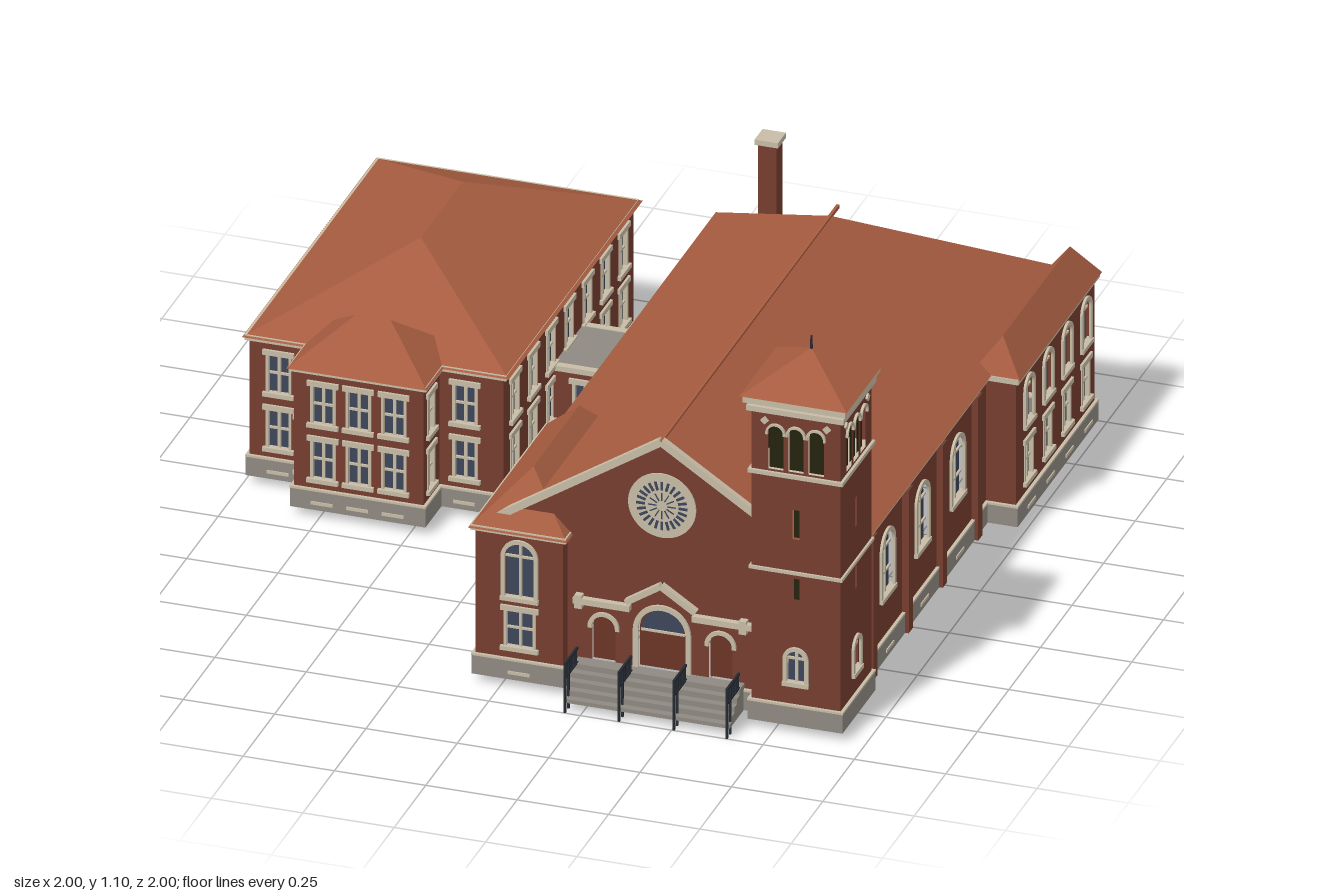
import * as THREE from 'three';
import { mergeGeometries } from 'three/addons/utils/BufferGeometryUtils.js';

const mat = (name, color) => new THREE.MeshStandardMaterial({ name, color, side: THREE.DoubleSide });
const M = {
  brick: mat('brick', 0x743d2e), roof: mat('roof tile', 0xa65c40), trim: mat('pale stone', 0xc6bba5),
  stone: mat('base stone', 0x8e8a82), glass: mat('window glass', 0x3d465a), dark: mat('dark opening', 0x24230f),
  door: mat('door wood', 0x6b3526), iron: mat('railing iron', 0x262a33),
};
const GROUND = 0.025, BASE = 0.085;

const put = (parent, name, geo, m) => {
  const mesh = new THREE.Mesh(geo, m);
  mesh.name = name;
  parent.add(mesh);
  return mesh;
};
// box given by its two corners
const boxGeo = (x0, x1, y0, y1, z0, z1) =>
  new THREE.BoxGeometry(x1 - x0, y1 - y0, z1 - z0).translate((x0 + x1) / 2, (y0 + y1) / 2, (z0 + z1) / 2);
const box = (parent, name, m, ...c) => put(parent, name, boxGeo(...c), m);
// sloping bar in the xy plane
function bar(parent, name, m, x0, y0, x1, y1, z, h, d) {
  const b = put(parent, name, new THREE.BoxGeometry(Math.hypot(x1 - x0, y1 - y0), h, d), m);
  b.position.set((x0 + x1) / 2, (y0 + y1) / 2, z);
  b.rotation.z = Math.atan2(y1 - y0, x1 - x0);
}

// outline of a window opening, square or round-headed
function opening(o, P = THREE.Path) {
  const p = new P(), r = o.w / 2, l = o.c - r, t = o.arch ? o.y1 - r : o.y1;
  p.moveTo(l, o.y0).lineTo(o.c + r, o.y0).lineTo(o.c + r, t);
  if (o.arch) p.absarc(o.c, t, r, 0, Math.PI, false);
  else p.lineTo(l, t);
  p.lineTo(l, o.y0);
  return p;
}
// raised surround of a round-headed opening, from height yb up
function archFrame(o, yb, k) {
  const s = new THREE.Shape(), r = o.w / 2, t = o.y1 - r, R = r + k;
  s.moveTo(o.c - R, yb).lineTo(o.c - R, t).absarc(o.c, t, R, Math.PI, 0, true);
  s.lineTo(o.c + R, yb).lineTo(o.c + r, yb).lineTo(o.c + r, t).absarc(o.c, t, r, 0, Math.PI, false);
  s.lineTo(o.c - r, yb);
  return new THREE.ExtrudeGeometry(s, { depth: 0.007, bevelEnabled: false, curveSegments: 10 });
}

function addWindow(g, o) {
  const { c, w, y0, y1, arch, kind = 'glass' } = o, r = w / 2;
  const pane = put(g, kind === 'glass' ? 'windowPane' : kind + 'Panel',
    new THREE.ShapeGeometry(opening(o, THREE.Shape), 10), M[kind]);
  pane.position.z = -0.01;
  if (o.plain) return;
  const parts = [];
  if (arch) put(g, 'archSurround', archFrame(o, kind === 'glass' || o.full ? y0 : y1 - r - 0.005, o.k ?? 0.011), M.trim);
  else {
    parts.push(boxGeo(c - r - 0.012, c + r + 0.012, y1 - 0.002, y1 + 0.013, -0.008, 0.007));
    for (const s of [-1, 1]) parts.push(boxGeo(c + s * r - 0.004, c + s * r + 0.004, y0, y1, -0.009, 0.003));
  }
  if (kind === 'glass') {
    const mid = arch ? y1 - r : (y0 + y1) / 2;
    parts.push(boxGeo(c - 0.004, c + 0.004, y0, y1 - 0.002, -0.009, -0.003),
      boxGeo(c - r, c + r, mid - 0.003, mid + 0.003, -0.009, -0.003),
      boxGeo(c - r - 0.012, c + r + 0.012, y0 - 0.012, y0, -0.009, 0.01));
    if (arch && w > 0.08) parts.push(boxGeo(c - r, c + r, y0 + 0.055, y0 + 0.061, -0.009, -0.003));
  }
  if (parts.length) put(g, 'windowTrim', mergeGeometries(parts), M.trim);
}

// wall facing F, R, L or B; a..b and window centres are world x or z
const SIDE = { F: [0, 1], R: [Math.PI / 2, -1], L: [-Math.PI / 2, 1], B: [Math.PI, -1] };
function wall(parent, name, side, plane, a, b, top, wins = [], opt = {}) {
  const [rot, s] = SIDE[side], g = new THREE.Group();
  g.name = name;
  g.rotation.y = rot;
  g.position[side === 'F' || side === 'B' ? 'z' : 'x'] = plane;
  parent.add(g);
  const lo = Math.min(s * a, s * b), hi = Math.max(s * a, s * b);
  const pts = opt.outline ?? [[lo, GROUND], [hi, GROUND], [hi, top], [lo, top]];
  const shape = new THREE.Shape(pts.map(p => new THREE.Vector2(...p)));
  const local = wins.map(o => ({ ...o, c: s * o.c }));
  shape.holes = local.map(o => opening(o));
  put(g, 'brickFace', new THREE.ShapeGeometry(shape, 10), M.brick);
  local.forEach(o => addWindow(g, o));
  box(g, 'stoneBase', M.stone, lo - 0.008, hi + 0.008, GROUND, BASE - 0.006, -0.022, 0.008);
  box(g, 'baseCap', M.trim, lo - 0.009, hi + 0.009, BASE - 0.006, BASE, -0.02, 0.009);
  if (!opt.noCornice) box(g, 'cornice', M.trim, lo - 0.01, hi + 0.01, top - 0.015, top, -0.01, 0.011);
  for (const c of opt.vents ?? [])
    box(g, 'basementVent', M.trim, s * c - 0.03, s * c + 0.03, 0.041, 0.05, 0.004, 0.011);
  return g;
}

// hipped roof; ridge from (ax,az) to (bx,bz), running along z unless alongX
function hip(parent, name, x0, x1, z0, z1, y0, y1, [ax, az, bx, bz], alongX = false) {
  const a = [x0, y0, z0], b = [x1, y0, z0], c = [x1, y0, z1], d = [x0, y0, z1];
  const A = [ax, y1, az], B = [bx, y1, bz];
  const tris = alongX
    ? [[d, c, B], [d, B, A], [b, a, A], [b, A, B], [a, d, A], [c, b, B]]
    : [[a, d, B], [a, B, A], [c, b, A], [c, A, B], [b, a, A]];
  if (!alongX && bz < z1) tris.push([d, c, B]);
  const geo = new THREE.BufferGeometry();
  geo.setAttribute('position', new THREE.Float32BufferAttribute(tris.flat(2), 3));
  geo.computeVertexNormals();
  put(parent, name, geo, M.roof);
}

const rect = (c, y0, y1, w = 0.062) => ({ c, w, y0, y1 });
const arched = (c, y0, y1, w) => ({ c, w, y0, y1, arch: true });
const twoFloors = (cols, w) => cols.flatMap(c => [rect(c, 0.115, 0.225, w), rect(c, 0.275, 0.385, w)]);
const row = (n, from, step) => Array.from({ length: n }, (_, i) => from + i * step);

function school(root) {
  const g = new THREE.Group();
  g.name = 'schoolWing';
  root.add(g);
  const sides = row(7, -0.9, 0.143), back = row(4, -0.9, 0.175);
  wall(g, 'schoolFront', 'F', 0.045, -0.985, -0.29, 0.435, twoFloors([-0.905, -0.395]), { vents: [-0.905, -0.395] });
  wall(g, 'schoolBack', 'B', -0.985, -0.985, -0.29, 0.435, twoFloors(back), { vents: back });
  wall(g, 'schoolLeft', 'L', -0.985, -0.985, 0.045, 0.435, twoFloors(sides), { vents: sides });
  wall(g, 'schoolRight', 'R', -0.29, -0.985, 0.045, 0.435, twoFloors(sides), { vents: sides });
  hip(g, 'schoolRoof', -1, -0.27, -1, 0.062, 0.43, 0.605, [-0.635, -0.63, -0.635, -0.3]);
  // projecting bay
  const cols = [-0.74, -0.643, -0.546];
  wall(g, 'bayFront', 'F', 0.172, -0.82, -0.465, 0.435, twoFloors(cols), { vents: cols });
  wall(g, 'bayLeft', 'L', -0.82, 0.045, 0.172, 0.435, twoFloors([0.115], 0.05));
  wall(g, 'bayRight', 'R', -0.465, 0.045, 0.172, 0.435, twoFloors([0.115], 0.05));
  hip(g, 'bayRoof', -0.835, -0.45, -0.08, 0.19, 0.43, 0.545, [-0.69, 0.055, -0.595, 0.055], true);
  // low link to the church
  const link = [-0.205, -0.12].map(c => rect(c, 0.125, 0.225, 0.058));
  wall(g, 'linkFront', 'F', -0.35, -0.29, -0.04, 0.272, link);
  wall(g, 'linkBack', 'B', -0.585, -0.29, -0.04, 0.272, link);
  box(g, 'linkRoof', M.stone, -0.29, -0.04, 0.262, 0.27, -0.58, -0.355);
}

function church(root) {
  const g = new THREE.Group();
  g.name = 'church';
  root.add(g);
  // nave
  const nave = c => arched(c, 0.205, 0.38, 0.09);
  const doors = [{ ...arched(0.43, 0.1, 0.275, 0.13), kind: 'door', full: true, k: 0.014 },
    ...[0.27, 0.59].map(c => ({ ...arched(c, 0.1, 0.23, 0.064), kind: 'door' }))];
  const front = wall(g, 'gableFront', 'F', 0.87, 0.17, 0.69, 0.455, doors, { noCornice: true,
    outline: [[0.17, GROUND], [0.69, GROUND], [0.69, 0.597], [0.43, 0.766], [-0.04, 0.46], [0.17, 0.455]] });
  const lunette = put(front, 'doorLunette', new THREE.CircleGeometry(0.058, 16, 0, Math.PI), M.glass);
  lunette.position.set(0.43, 0.212, -0.005);
  box(front, 'doorTransom', M.trim, 0.37, 0.49, 0.205, 0.211, -0.008, -0.002);
  wall(g, 'naveRight', 'R', 0.9, -0.33, 0.68, 0.455, [0.455, 0.18, -0.1].map(nave), { vents: [0.455, 0.18, -0.1] });
  wall(g, 'naveLeft', 'L', -0.04, -0.94, 0.33, 0.455, [0.18, -0.1, -0.38, -0.66].map(nave), { vents: [0.18, -0.1] });
  wall(g, 'naveBack', 'B', -0.94, -0.04, 0.98, 0.455, [nave(0.43)]);
  for (const z of [0.595, 0.315, 0.045, -0.235]) {
    box(g, 'buttress', M.brick, 0.895, 0.918, GROUND, 0.44, z - 0.017, z + 0.017);
    if (z < 0.3) box(g, 'buttress', M.brick, -0.058, -0.035, GROUND, 0.44, z - 0.017, z + 0.017);
  }
  hip(g, 'naveRoof', -0.055, 0.918, -0.955, 0.88, 0.455, 0.77, [0.43, -0.46, 0.43, 0.88]);
  box(g, 'ridgeCap', M.roof, 0.426, 0.434, 0.764, 0.774, -0.52, 0.88);
  bar(g, 'gableCoping', M.trim, -0.05, 0.457, 0.43, 0.769, 0.876, 0.02, 0.018);
  bar(g, 'gableCoping', M.trim, 0.43, 0.769, 0.69, 0.6, 0.876, 0.02, 0.018);
  // rose window
  const rose = new THREE.Group();
  rose.name = 'roseWindow';
  rose.position.set(0.43, 0.58, 0.87);
  g.add(rose);
  put(rose, 'roseDisc', new THREE.CylinderGeometry(0.093, 0.093, 0.008, 40).rotateX(Math.PI / 2), M.trim);
  const slots = [];
  for (let i = 0; i < 24; i++)
    slots.push(boxGeo(0.046, 0.07, -0.0035, 0.0035, 0.004, 0.006).rotateZ(i * Math.PI / 12));
  for (let i = 0; i < 12; i++)
    slots.push(boxGeo(0.015, 0.038, -0.0015, 0.0015, 0.004, 0.006).rotateZ(i * Math.PI / 6));
  put(rose, 'roseGlass', mergeGeometries(slots), M.glass);
  // entrance trim
  box(g, 'entranceBand', M.trim, 0.19, 0.345, 0.262, 0.279, 0.865, 0.888);
  box(g, 'entranceBand', M.trim, 0.515, 0.68, 0.262, 0.279, 0.865, 0.888);
  for (const s of [-1, 1]) {
    bar(g, 'pediment', M.trim, 0.43 + s * 0.095, 0.288, 0.43, 0.35, 0.879, 0.016, 0.02);
    box(g, 'bandEnd', M.trim, 0.43 + s * 0.225 - 0.01, 0.43 + s * 0.225 + 0.01, 0.25, 0.288, 0.865, 0.89);
  }
  // front corner block
  wall(g, 'blockFront', 'F', 0.905, -0.07, 0.17, 0.46,
    [arched(0.052, 0.265, 0.42, 0.08), rect(0.052, 0.12, 0.225, 0.08)], { vents: [0.052] });
  wall(g, 'blockLeft', 'L', -0.07, 0.325, 0.905, 0.46);
  wall(g, 'blockBack', 'B', 0.325, -0.07, -0.04, 0.46);
  wall(g, 'blockRight', 'R', 0.17, 0.87, 0.905, 0.46);
  hip(g, 'blockRoof', -0.085, 0.185, 0.31, 0.92, 0.452, 0.59, [0.05, 0.43, 0.05, 0.79]);
  // rear side block
  const cols = [-0.43, -0.58, -0.73, -0.88];
  wall(g, 'transeptRight', 'R', 0.982, -0.955, -0.33, 0.455,
    cols.flatMap(c => [rect(c, 0.12, 0.23, 0.06), arched(c, 0.285, 0.41, 0.06)]), { vents: cols });
  wall(g, 'transeptFront', 'F', -0.33, 0.9, 0.982, 0.455);
  wall(g, 'transeptBack', 'B', -0.955, 0.88, 0.982, 0.455);
  hip(g, 'transeptRoof', 0.86, 0.997, -0.97, -0.32, 0.452, 0.545, [0.93, -0.91, 0.93, -0.38]);
  // chimney
  box(g, 'chimney', M.brick, 0.09, 0.14, 0.44, 0.72, -0.92, -0.87);
  box(g, 'chimneyCap', M.trim, 0.083, 0.147, 0.72, 0.735, -0.927, -0.863);
}

function tower(root) {
  const g = new THREE.Group(), cx = 0.81, cz = 0.79, h = 0.122;
  g.name = 'bellTower';
  root.add(g);
  for (const side of ['F', 'R', 'B', 'L']) {
    const alongX = side === 'F' || side === 'B', c = alongX ? cx : cz;
    const plane = (alongX ? cz : cx) + (side === 'F' || side === 'R' ? h : -h);
    const wins = [-0.055, 0, 0.055].map(d => ({ ...arched(c + d, 0.76, 0.888, 0.042), kind: 'dark', k: 0.006 }));
    for (const [y0, y1] of [[0.385, 0.45], [0.565, 0.65]]) wins.push({ ...rect(c, y0, y1, 0.018), kind: 'dark', plain: true });
    if (side === 'F' || side === 'R') wins.push(arched(c, 0.15, 0.24, 0.048));
    const w = wall(g, 'towerWall', side, plane, c - h, c + h, 0.94, wins);
    for (const s of [-1, 1]) {
      const stud = put(w, 'wallStud', new THREE.BoxGeometry(0.016, 0.016, 0.008), M.trim);
      stud.position.set(SIDE[side][1] * c + s * 0.085, 0.9, 0.002);
      stud.rotation.z = Math.PI / 4;
    }
  }
  const band = (name, m, r, y0, y1) => box(g, name, m, cx - r, cx + r, y0, y1, cz - r, cz + r);
  band('stringCourse', M.trim, h + 0.006, 0.463, 0.472);
  band('stringCourse', M.trim, h + 0.008, 0.743, 0.754);
  band('towerCornice', M.trim, 0.14, 0.95, 0.972);
  hip(g, 'towerRoof', cx - 0.147, cx + 0.147, cz - 0.147, cz + 0.147, 0.97, 1.065, [cx, cz, cx, cz]);
  put(g, 'finial', new THREE.CylinderGeometry(0.003, 0.004, 0.045, 8), M.iron).position.set(cx, 1.078, cz);
}

function steps(root) {
  const g = new THREE.Group();
  g.name = 'entranceSteps';
  root.add(g);
  for (let i = 0; i < 5; i++)
    box(g, 'step', M.stone, 0.2, 0.655, GROUND, 0.1 - 0.016 * i, 0.87, 0.91 + 0.02 * i);
  // iron railings
  for (const x of [0.207, 0.355, 0.505, 0.65]) {
    const parts = [boxGeo(x - 0.003, x + 0.003, 0.138, 0.145, 0.9, 1), boxGeo(x - 0.003, x + 0.003, 0.098, 0.103, 0.9, 1)];
    for (let i = 0; i < 9; i++)
      parts.push(boxGeo(x - 0.0015, x + 0.0015, 0.1, 0.142, 0.904 + i * 0.011, 0.908 + i * 0.011));
    for (const z of [0.97, 0.997]) parts.push(boxGeo(x - 0.003, x + 0.003, 0, 0.14, z - 0.003, z + 0.003));
    put(g, 'railing', mergeGeometries(parts), M.iron);
  }
}

export function createModel() {
  const root = new THREE.Group();
  root.name = 'churchAndSchool';
  school(root);
  church(root);
  tower(root);
  steps(root);
  return root;
}
